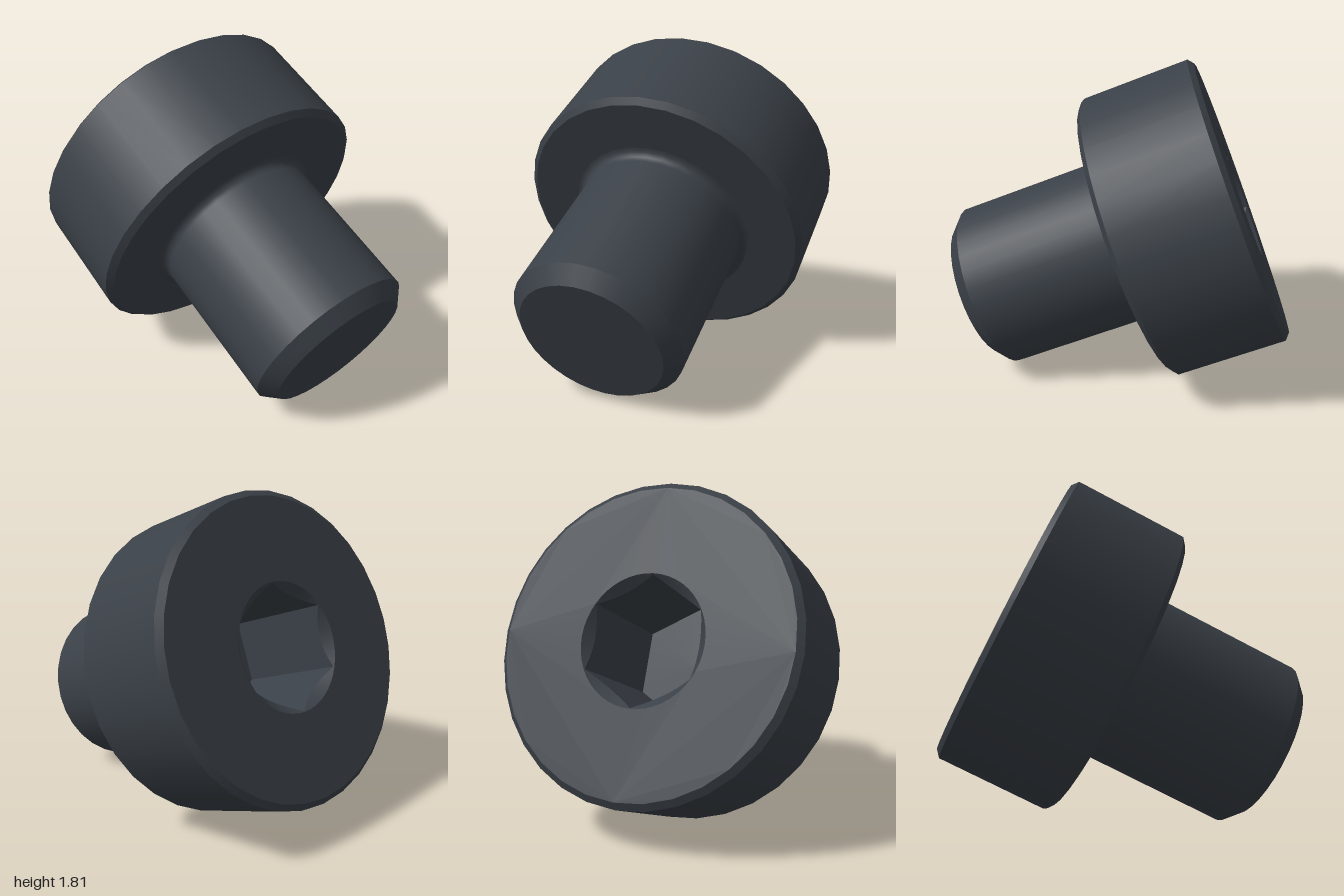
import * as THREE from 'three';
import { mergeGeometries, toCreasedNormals } from 'three/addons/utils/BufferGeometryUtils.js';

const SEGMENTS = 32;
const FACE_T = -0.735;      // socket face, measured along the screw axis
const FACE_R = 0.812;
const RIM_R = 0.35;         // round countersink of the socket
const HEX_R = 0.346;        // corner radius of the hexagon
const FLOOR_T = -0.07;

// Surface of revolution about y; each profile is smooth, joints between profiles are sharp
function turned(profiles) {
  return mergeGeometries(profiles.map((points) =>
    new THREE.LatheGeometry(points.map(([r, t]) => new THREE.Vector2(r, t)), SEGMENTS)));
}

function circle(radius, count) {
  return Array.from({ length: count }, (_, i) => {
    const a = (i / count) * Math.PI * 2;
    return new THREE.Vector2(Math.sin(a) * radius, Math.cos(a) * radius);
  });
}

// Flat annular face around the socket
function faceGeometry() {
  const shape = new THREE.Shape(circle(FACE_R, SEGMENTS));
  shape.holes.push(new THREE.Path(circle(RIM_R, 48)));
  return new THREE.ShapeGeometry(shape).rotateX(Math.PI / 2).translate(0, FACE_T, 0);
}

// Hexagonal recess whose conical lead-in cuts an arc into every flat
function socketGeometry() {
  const rows = [[0, FLOOR_T], [HEX_R, FLOOR_T], [HEX_R, FACE_T + 0.05], [RIM_R, FACE_T]];
  const geo = new THREE.LatheGeometry(rows.map(([r, t]) => new THREE.Vector2(r, t)), 48);
  const pos = geo.attributes.position;
  for (let i = 0; i < pos.count; i++) {
    const row = i % 4;
    if (row !== 1 && row !== 2) continue;
    const a = (Math.floor(i / 4) / 48) * Math.PI * 2;
    const r = HEX_R * Math.cos(Math.PI / 6) / Math.cos((a % (Math.PI / 3)) - Math.PI / 6);
    const t = row === 1 ? FLOOR_T : FACE_T + (RIM_R - r);
    pos.setXYZ(i, Math.sin(a) * r, t, Math.cos(a) * r);
  }
  return toCreasedNormals(geo, 0.4);
}

export function createModel() {
  const darkSteel = new THREE.MeshStandardMaterial({ color: 0x3a4047 });
  darkSteel.name = 'darkSteel';

  const screw = new THREE.Group();
  screw.name = 'socketHeadScrew';
  const add = (name, geometry) => {
    const mesh = new THREE.Mesh(geometry, darkSteel);
    mesh.name = name;
    screw.add(mesh);
  };

  add('headFace', faceGeometry());
  add('hexSocket', socketGeometry());

  // Head with a small chamfer on both rims
  add('head', turned([
    [[FACE_R, FACE_T], [0.847, -0.706]],
    [[0.847, -0.706], [0.847, -0.08]],
    [[0.847, -0.08], [FACE_R, -0.05]],
    [[FACE_R, -0.05], [0.535, -0.05]],
  ]));

  // Shank with a fillet under the head and a chamfered tip
  const shank = [];
  for (let i = 0; i <= 6; i++) {
    const a = (i / 6) * Math.PI / 2;
    shank.push([0.535 - 0.052 * Math.sin(a), 0.002 - 0.052 * Math.cos(a)]);
  }
  shank.push([0.483, 0.835]);
  add('shank', turned([
    shank,
    [[0.483, 0.835], [0.404, 0.916]],
    [[0.404, 0.916], [0, 0.916]],
  ]));

  // Lay the screw along its tilted axis
  const axis = new THREE.Vector3(1, -0.4, 0.21).normalize();
  const up = new THREE.Vector3(0, 1, 0).addScaledVector(axis, -axis.y).normalize();
  const side = new THREE.Vector3().crossVectors(axis, up);
  screw.quaternion.setFromRotationMatrix(new THREE.Matrix4().makeBasis(side, axis, up));
  screw.position.set(0, 0.757, 0.071);

  const model = new THREE.Group();
  model.name = 'screwModel';
  model.add(screw);
  return model;
}
